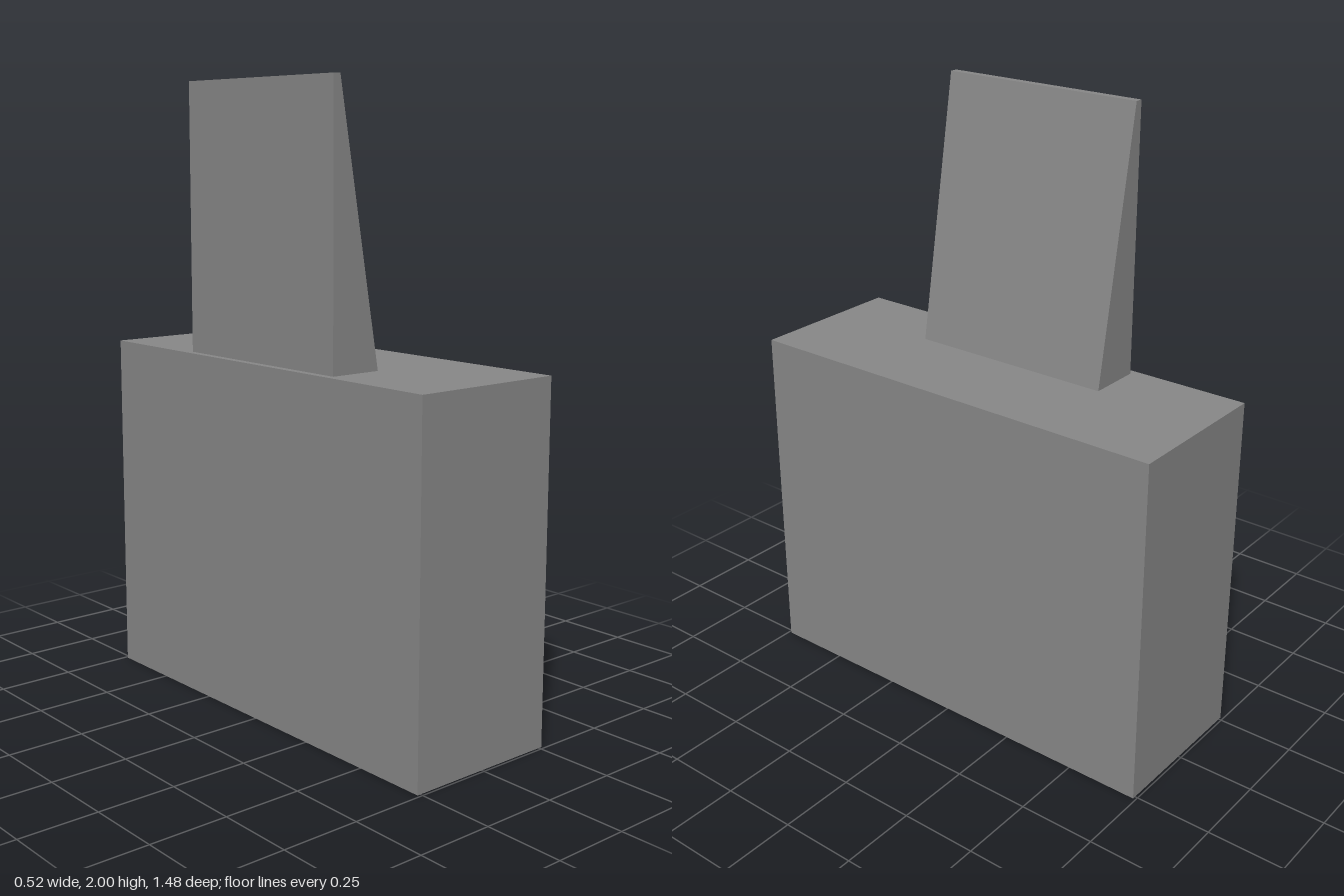
import * as THREE from 'three';

const BODY = { width: 0.522, height: 1.141, depth: 1.482 };
const FIN_DEPTH = 0.696;

export function createModel() {
  const group = new THREE.Group();
  const material = new THREE.MeshStandardMaterial({ color: 0x888888, flatShading: true });

  // Solid rectangular body
  const body = new THREE.Mesh(new THREE.BoxGeometry(BODY.width, BODY.height, BODY.depth), material);
  body.name = 'body';
  body.position.y = BODY.height / 2;
  group.add(body);

  // Tapered upright fin: vertical outer face, sloping inner face
  const profile = new THREE.Shape([
    new THREE.Vector2(-0.237, BODY.height),
    new THREE.Vector2(-0.062, BODY.height),
    new THREE.Vector2(-0.212, 2),
    new THREE.Vector2(-0.237, 2),
  ]);
  const finGeometry = new THREE.ExtrudeGeometry(profile, { depth: FIN_DEPTH, bevelEnabled: false });
  finGeometry.translate(0, 0, -FIN_DEPTH / 2);
  const fin = new THREE.Mesh(finGeometry, material);
  fin.name = 'taperedFin';
  group.add(fin);

  return group;
}
